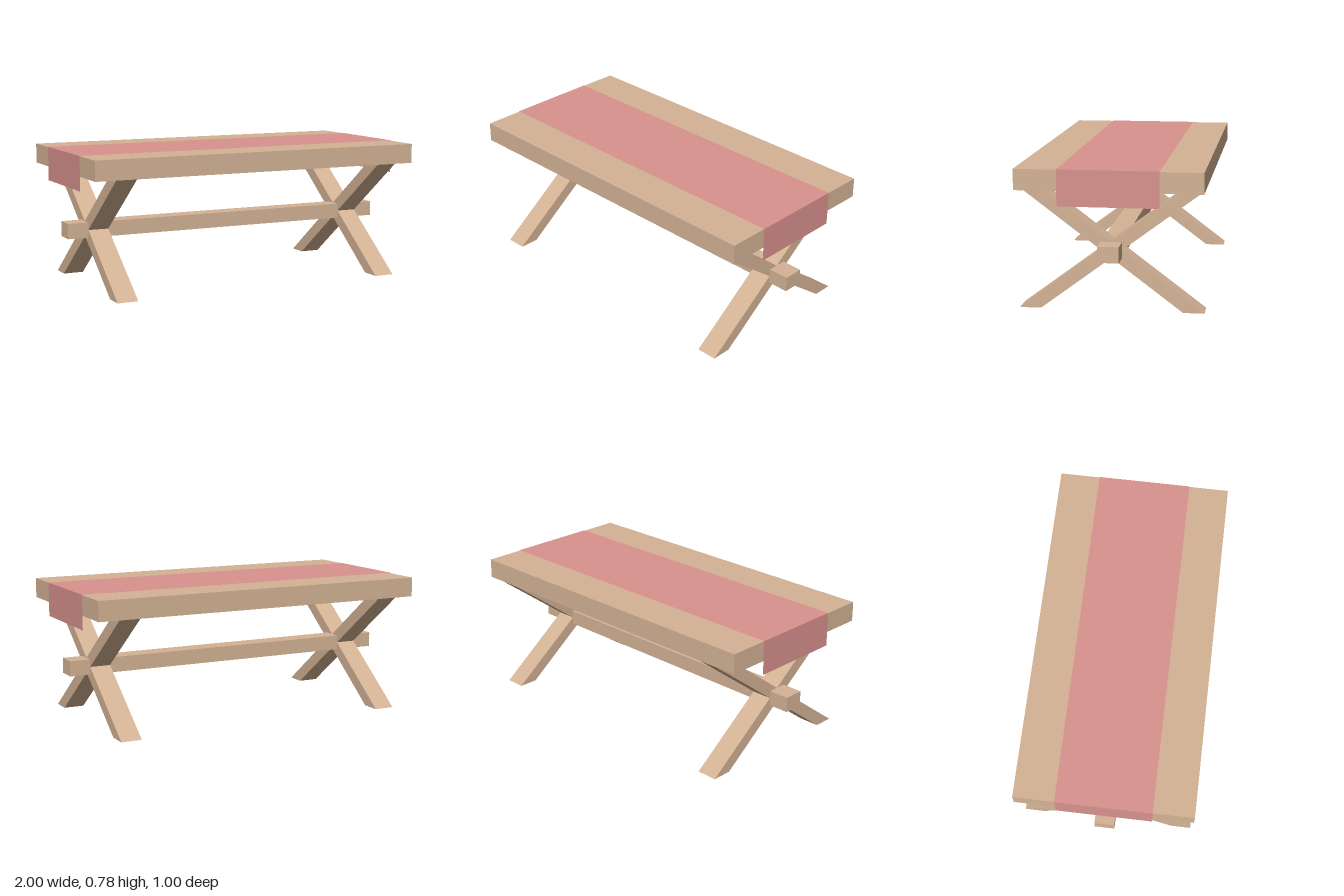
import * as THREE from 'three';

const wood = new THREE.MeshStandardMaterial({ color: 0xd4b395 });
const cloth = new THREE.MeshStandardMaterial({ color: 0xd9928e, side: THREE.DoubleSide });

const TOP = 0.78, UNDER = 0.665;

function box(name, w, h, d, y) {
  const mesh = new THREE.Mesh(new THREE.BoxGeometry(w, h, d), wood);
  mesh.name = name;
  mesh.position.y = y;
  return mesh;
}

// slanted board with level ends; dir chooses which way it leans
function legBoard(dir) {
  const shape = new THREE.Shape([
    [0.385, 0], [0.5, 0], [-0.385, UNDER], [-0.5, UNDER],
  ].map(([z, y]) => new THREE.Vector2(z * dir, y)));
  const geo = new THREE.ExtrudeGeometry(shape, { depth: 0.12, bevelEnabled: false });
  geo.translate(0, 0, -0.06).rotateY(-Math.PI / 2);
  const mesh = new THREE.Mesh(geo, wood);
  mesh.name = dir > 0 ? 'legBoardFront' : 'legBoardBack';
  return mesh;
}

// cloth strip lying on the top and hanging over both ends
function runner() {
  const path = [[-1, 0.585], [-1, TOP], [1, TOP], [1, 0.585]];
  let geo = new THREE.PlaneGeometry(1, 0.54, 3, 1);
  const pos = geo.attributes.position;
  for (let i = 0; i < pos.count; i++) {
    const [x, y] = path[i % 4];
    pos.setXYZ(i, x, y, -pos.getY(i));
  }
  geo = geo.toNonIndexed();
  geo.computeVertexNormals();
  const mesh = new THREE.Mesh(geo, cloth);
  mesh.name = 'tableRunner';
  return mesh;
}

export function createModel() {
  const table = new THREE.Group();
  table.name = 'trestleTable';

  // top sits just inside the cloth
  table.add(box('tableTop', 1.996, TOP - UNDER - 0.002, 1, (TOP + UNDER) / 2 - 0.001));
  table.add(runner());
  table.add(box('stretcherBeam', 2, 0.087, 0.115, UNDER / 2));

  // crossed legs at both ends
  for (const side of [-1, 1]) {
    const legs = new THREE.Group();
    legs.name = side > 0 ? 'crossLegsLeft' : 'crossLegsRight';
    legs.position.x = side * 0.82;
    legs.add(legBoard(1), legBoard(-1));
    table.add(legs);
  }
  return table;
}
